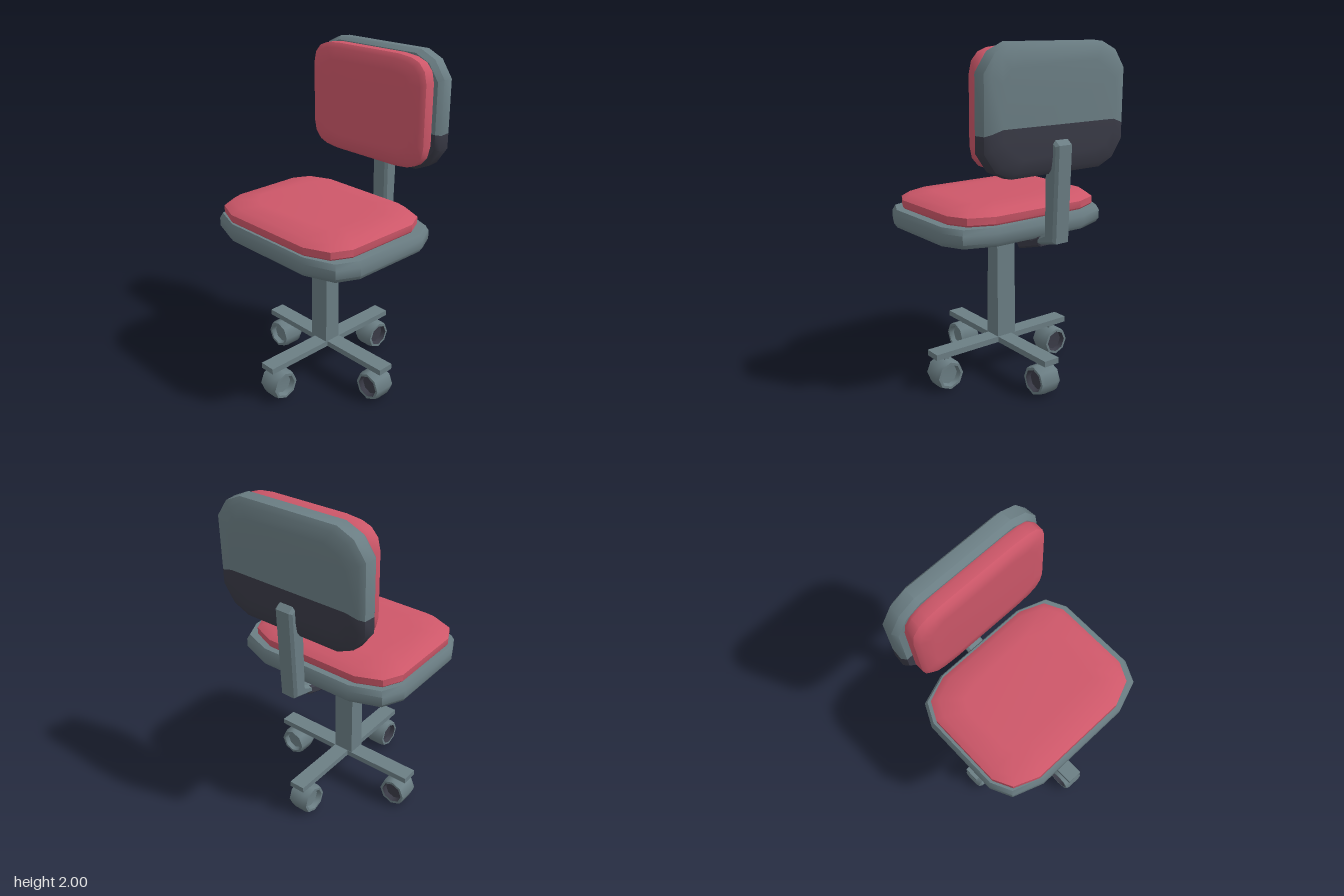
import * as THREE from 'three';
import { toCreasedNormals } from 'three/addons/utils/BufferGeometryUtils.js';

const grey = new THREE.MeshStandardMaterial({ color: 0x6b7e84 });
grey.name = 'greyFrame';
const dark = new THREE.MeshStandardMaterial({ color: 0x3a3b47 });
dark.name = 'darkTrim';
const red = new THREE.MeshStandardMaterial({ color: 0xcd5769 });
red.name = 'redCushion';

// Counter-clockwise cut-corner outline; corner lists [dx, dy] insets from side to top
function quadrants(hx, hy, corner) {
  const q = corner.map(([dx, dy]) => [hx - dx, hy - dy]);
  const r = [...q].reverse();
  return [q, r.map(([x, y]) => [-x, y]), q.map(([x, y]) => [-x, -y]), r.map(([x, y]) => [x, -y])];
}

// Stack inset copies of a loop along z; layers are [height, inset]
function loft(loop, hx, hy, layers, { closed = true, caps = true, crease = 0.7 } = {}) {
  const rings = layers.map(([h, ix, iy = ix]) =>
    loop.map(([u, v]) => [u * (1 - ix / hx), v * (1 - iy / hy), h]));
  const pos = [], n = loop.length;
  const tri = (...p) => p.forEach((c) => pos.push(...c));
  for (let k = 0; k < rings.length - 1; k++) {
    for (let i = 0; i < (closed ? n : n - 1); i++) {
      const j = (i + 1) % n, a = rings[k], b = rings[k + 1];
      tri(a[i], a[j], b[j]);
      tri(a[i], b[j], b[i]);
    }
  }
  if (caps) {
    const low = rings[0], top = rings[rings.length - 1];
    const faces = THREE.ShapeUtils.triangulateShape(loop.map((p) => new THREE.Vector2(...p)), []);
    for (const [a, b, c] of faces) {
      tri(top[a], top[b], top[c]);
      tri(low[a], low[c], low[b]);
    }
  }
  const g = new THREE.BufferGeometry();
  g.setAttribute('position', new THREE.Float32BufferAttribute(pos, 3));
  return toCreasedNormals(g, crease);
}

function add(parent, name, geometry, material, x = 0, y = 0, z = 0) {
  const m = new THREE.Mesh(geometry, material);
  m.name = name;
  m.position.set(x, y, z);
  parent.add(m);
  return m;
}

// Side profile given as [z, y], extruded across the width
function sideProfile(points, width, bevel) {
  const shape = new THREE.Shape(points.map(([z, y]) => new THREE.Vector2(-z, y)));
  const g = new THREE.ExtrudeGeometry(shape, {
    depth: width - 2 * bevel, bevelEnabled: true, bevelSegments: 1,
    bevelSize: bevel, bevelThickness: bevel, bevelOffset: -bevel,
  });
  return g.translate(0, 0, -width / 2 + bevel).rotateY(Math.PI / 2);
}

const lathe = (pts) => toCreasedNormals(
  new THREE.LatheGeometry(pts.map((p) => new THREE.Vector2(...p)), 8), 0.9).rotateX(Math.PI / 2);

export function createModel() {
  const chair = new THREE.Group();
  chair.name = 'officeChair';

  // Seat shell, cushion and dark underside
  const seatCorner = [[0, 0.19], [0.06, 0.065], [0.24, 0]];
  const seat = quadrants(0.55, 0.437, seatCorner).flat();
  add(chair, 'seatShell', loft(seat, 0.55, 0.437,
    [[0.92, 0.06], [0.935, 0.015], [0.96, 0], [1.01, 0], [1.04, 0.015]])
    .rotateX(-Math.PI / 2), grey, 0, 0, 0.073);
  const under = quadrants(0.43, 0.31, [[0, 0.12], [0.04, 0.04], [0.16, 0]]).flat();
  add(chair, 'seatUnderside', loft(under, 0.43, 0.31, [[0.916, 0], [0.922, 0]])
    .rotateX(-Math.PI / 2), dark, 0, 0, 0.04);
  const pad = quadrants(0.505, 0.403, [[0, 0.17], [0.055, 0.06], [0.2, 0]]).flat();
  add(chair, 'seatCushion', loft(pad, 0.505, 0.403,
    [[1.03, 0.015], [1.05, 0], [1.09, 0], [1.12, 0.04], [1.133, 0.16]])
    .rotateX(-Math.PI / 2), red, -0.015, 0, 0.083);

  // Backrest shell, split at the dark lower band
  const hx = 0.48, hy = 0.345, seam = -0.11;
  const [q1, q2, q3, q4] = quadrants(hx, hy, [[0, 0.145], [0.07, 0.045], [0.17, 0]]);
  const shellLayers = [[-0.49, 0.1], [-0.48, 0.035], [-0.46, 0.005], [-0.39, 0], [-0.36, 0.02]];
  const upper = [[hx, seam], ...q1, ...q2, [-hx, seam]];
  const lower = [[-hx, seam], ...q3, ...q4, [hx, seam]];
  add(chair, 'backrestShellUpper', loft(upper, hx, hy, shellLayers, { closed: false }), grey, -0.01, 1.655);
  add(chair, 'backrestShellLower', loft(lower, hx, hy, shellLayers, { closed: false }), dark, -0.01, 1.655);

  // Backrest cushion
  const backPad = quadrants(0.437, 0.32,
    [[0, 0.14], [0.015, 0.075], [0.055, 0.03], [0.11, 0.01], [0.2, 0]]).flat();
  add(chair, 'backrestCushion', loft(backPad, 0.437, 0.32,
    [[-0.362, 0.01], [-0.34, 0], [-0.285, 0], [-0.262, 0.025], [-0.255, 0.09]]), red, -0.005, 1.66);

  // Bent support arm
  add(chair, 'backArm', sideProfile([[-0.36, 0.9], [-0.51, 0.935], [-0.525, 1.47], [-0.485, 1.5],
    [-0.42, 1.45], [-0.42, 0.975], [-0.36, 0.945]], 0.115, 0.015), grey, -0.012);
  add(chair, 'backArmFoot', sideProfile([[-0.14, 0.925], [-0.2, 0.84], [-0.385, 0.895],
    [-0.385, 0.955], [-0.32, 0.925]], 0.11, 0.01), dark, -0.012);

  // Tapered mount under the seat, lighter on its rear face
  const mount = [[0.245, 0.165], [-0.245, 0.165], [-0.245, -0.165], [0.245, -0.165]];
  const mountLayers = [[0.81, 0.18, 0.114], [0.83, 0.18, 0.114], [0.92, 0]];
  const open = { closed: false, caps: false, crease: 0.1 };
  const faces = [mount[1], mount[2], mount[3], mount[0]];
  add(chair, 'seatMount', loft(faces, 0.245, 0.165, mountLayers, open)
    .rotateX(-Math.PI / 2), dark, -0.015, 0, 0.037);
  add(chair, 'seatMountRear', loft(mount.slice(0, 2), 0.245, 0.165, mountLayers, open)
    .rotateX(-Math.PI / 2), grey, -0.015, 0, 0.037);

  // Post, slightly deeper at its foot
  const post = quadrants(0.065, 0.055, [[0, 0]]).flat();
  add(chair, 'post', loft(post, 0.065, 0.055, [[0.205, 0], [0.82, 0, 0.008]], { crease: 0.1 })
    .rotateX(-Math.PI / 2), grey, -0.015, 0, 0.038);

  // Four-armed base with casters
  const base = new THREE.Group();
  base.name = 'base';
  base.position.set(0, 0, 0.032);
  chair.add(base);
  const tyre = lathe([[0, -0.03], [0.06, -0.035], [0.068, -0.065], [0.084, -0.065], [0.09, -0.04],
    [0.09, 0.04], [0.084, 0.065], [0.068, 0.065]]);
  const hubCap = lathe([[0.068, 0.065], [0.06, 0.035], [0, 0.03]]);
  for (let i = 0; i < 4; i++) {
    const leg = new THREE.Group();
    leg.name = 'leg' + (i + 1);
    leg.rotation.y = i * Math.PI / 2;
    base.add(leg);
    add(leg, 'legBar', new THREE.BoxGeometry(0.49, 0.035, 0.1), grey, 0.245, 0.22, 0);
    add(leg, 'casterStem', new THREE.BoxGeometry(0.03, 0.05, 0.03), grey, 0.4, 0.19, 0);
    add(leg, 'casterWheel', tyre, grey, 0.405, 0.09, 0);
    add(leg, 'casterHub', hubCap, dark, 0.405, 0.09, 0);
  }
  return chair;
}
